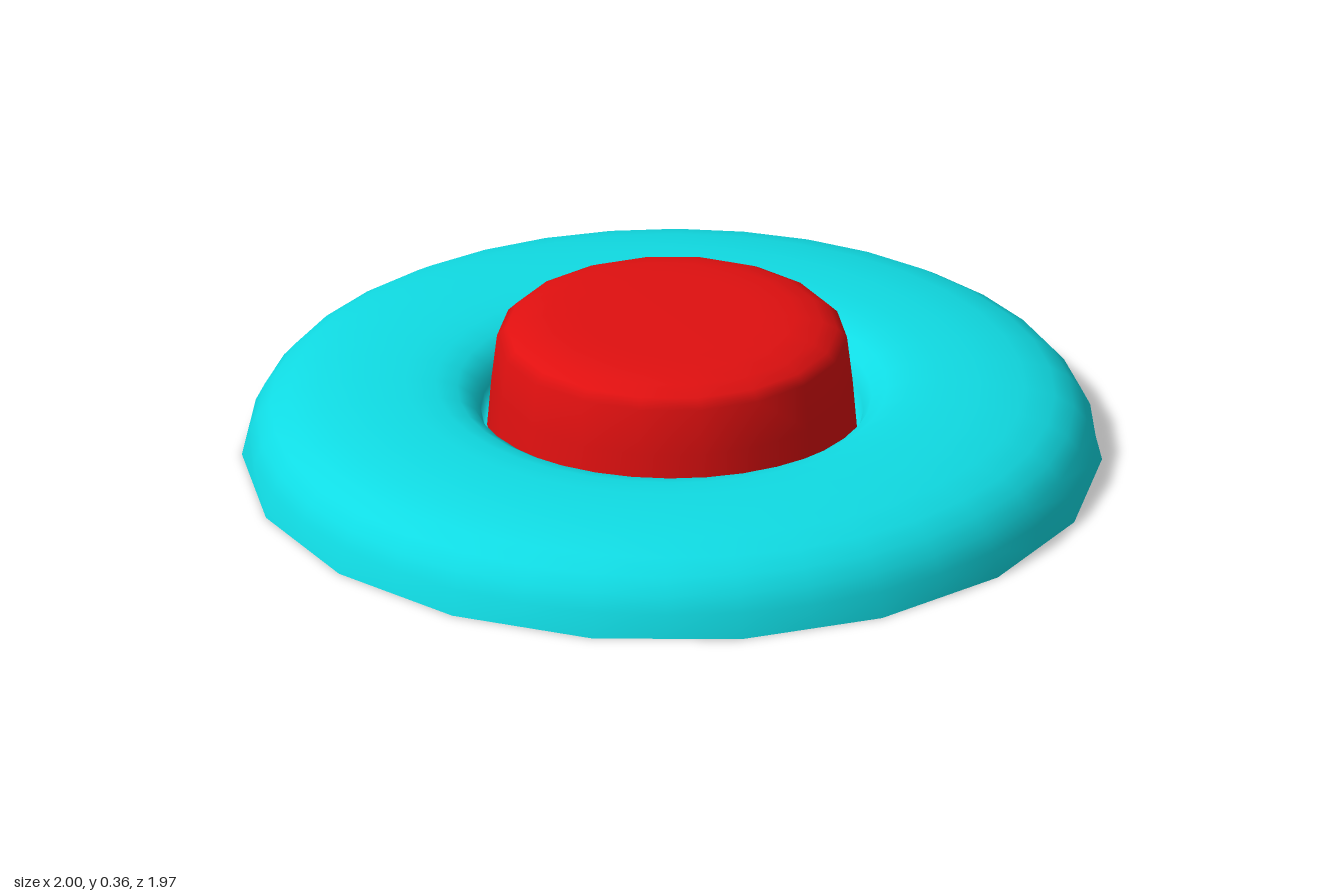
import * as THREE from 'three';

const profile = (pts) => pts.map(([r, y]) => new THREE.Vector2(r, y));

export function createModel() {
  const model = new THREE.Group();
  const add = (name, geometry, color) => {
    const mesh = new THREE.Mesh(geometry, new THREE.MeshStandardMaterial({ color }));
    mesh.name = name;
    model.add(mesh);
  };
  const teal = 0x10dce4, red = 0xe01010;

  // Domed ring, round above, with a recess around the button
  const ring = profile([
    [1, 0], [0.985, 0.06], [0.965, 0.1], [0.935, 0.135], [0.89, 0.163], [0.82, 0.183],
    [0.72, 0.196], [0.62, 0.198], [0.55, 0.195], [0.5, 0.182], [0.465, 0.16], [0.445, 0.125],
    [0.435, 0.08], [0.3, 0.08], [0, 0.08],
  ]);
  const rows = ring.length;
  const dome = new THREE.LatheGeometry(ring, 36);
  // The foot of the ring is an 18-sided polygon: pull in every second corner
  const pos = dome.attributes.position;
  const inset = Math.cos(Math.PI / 18);
  for (let i = 0; i <= 36; i += 2) {
    const v = i * rows;
    pos.setXYZ(v, pos.getX(v) * inset, 0, pos.getZ(v) * inset);
  }
  add('base', dome, teal);

  // Flat underside
  add('baseUnderside', new THREE.CircleGeometry(1, 18).rotateX(Math.PI / 2), teal);

  // Push button with a rounded upper edge
  const button = profile([
    [0.43, 0.08], [0.42, 0.2], [0.407, 0.31], [0.385, 0.332], [0.35, 0.35],
    [0.29, 0.363], [0.2, 0.364], [0, 0.364],
  ]);
  add('button', new THREE.LatheGeometry(button, 18, Math.PI / 18), red);

  return model;
}
